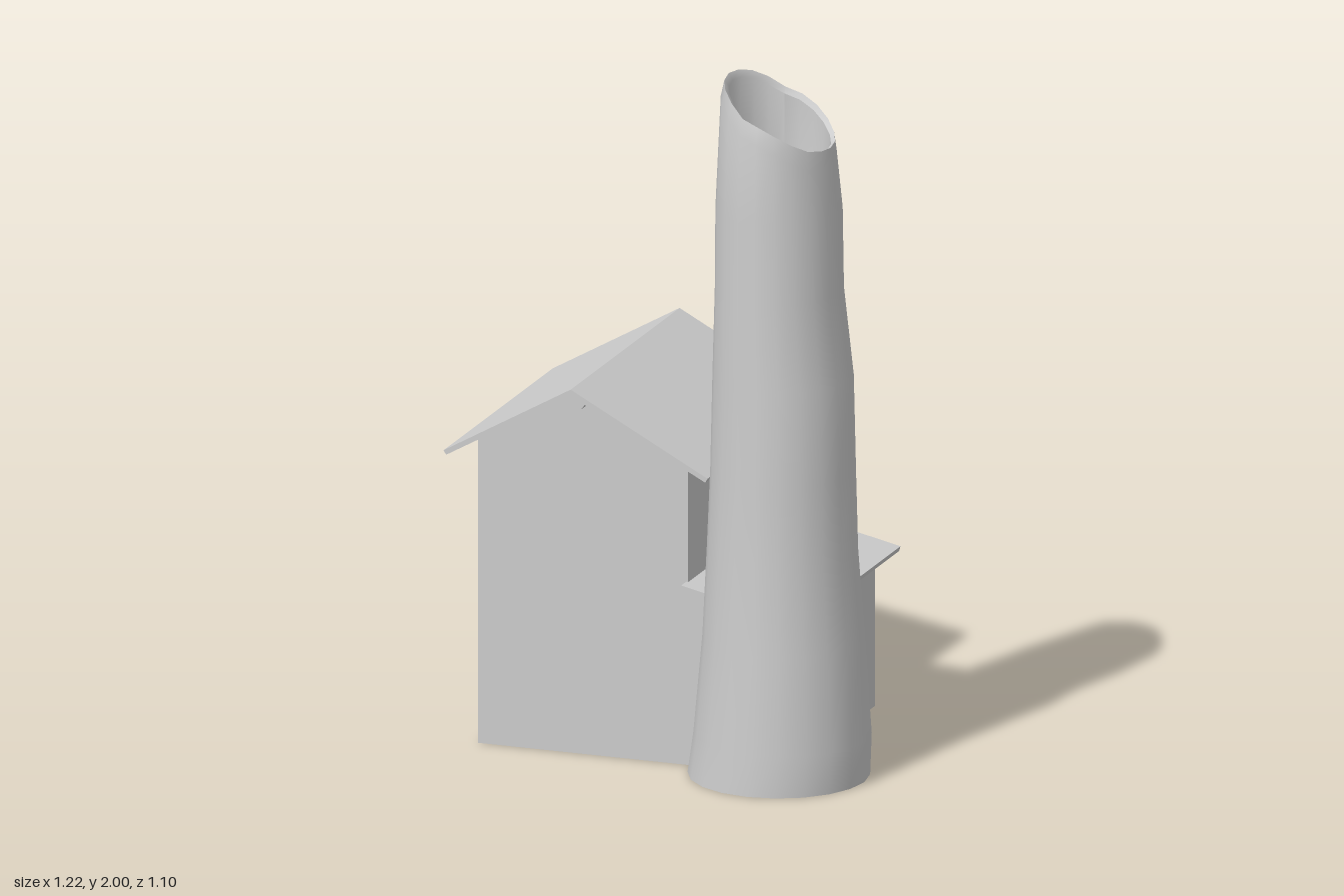
import * as THREE from 'three';
import { toCreasedNormals } from 'three/addons/utils/BufferGeometryUtils.js';

const material = new THREE.MeshStandardMaterial({ color: 0xcccccc });

// Extrudes an outline in x,y between two depths
function prism(name, shape, z0, z1) {
  if (Array.isArray(shape)) shape = new THREE.Shape(shape.map(([x, y]) => new THREE.Vector2(x, y)));
  const geometry = new THREE.ExtrudeGeometry(shape, { depth: z1 - z0, bevelEnabled: false, curveSegments: 10 });
  geometry.translate(0, 0, z0);
  return named(name, geometry);
}

function named(name, geometry) {
  const mesh = new THREE.Mesh(geometry, material);
  mesh.name = name;
  return mesh;
}

// Skins a list of closed rings that all have the same number of points
function loft(rings, crease) {
  const n = rings[0].length, index = [];
  for (let i = 0; i < rings.length - 1; i++) {
    for (let j = 0; j < n; j++) {
      const a = i * n + j, b = i * n + (j + 1) % n;
      index.push(a, a + n, b, b, a + n, b + n);
    }
  }
  const geometry = new THREE.BufferGeometry();
  geometry.setAttribute('position', new THREE.Float32BufferAttribute(rings.flat(2), 3));
  geometry.setIndex(index);
  return toCreasedNormals(geometry, crease);
}

// Tall hollow stack with an uneven outline and a slanted, ragged mouth
function makeChimney() {
  const sides = 20, cz = 0.3;
  const mouth = [[0.2, 2], [0.25, 1.97], [0.29, 1.93], [0.37, 1.9], [0.43, 1.86], [0.47, 1.83], [0.5, 1.815]];
  const mouthHeight = (x) => {
    if (x <= mouth[0][0]) return mouth[0][1];
    for (let i = 1; i < mouth.length; i++) {
      const [x0, y0] = mouth[i - 1], [x1, y1] = mouth[i];
      if (x <= x1) return y0 + (y1 - y0) * (x - x0) / (x1 - x0);
    }
    return mouth[mouth.length - 1][1];
  };
  const ring = (left, right, rz, height) => Array.from({ length: sides }, (_, j) => {
    const a = j / sides * Math.PI * 2;
    const x = (left + right) / 2 + Math.cos(a) * (right - left) / 2;
    return [x, typeof height === 'function' ? height(x) : height, cz + Math.sin(a) * rz];
  });
  // y, left edge, right edge, half depth
  const outline = [
    [0, 0.35, 0.35, 0], [0, 0.095, 0.6, 0.252], [0.12, 0.112, 0.605, 0.247], [0.4, 0.138, 0.585, 0.234],
    [0.65, 0.15, 0.566, 0.22], [0.88, 0.16, 0.56, 0.214], [1.15, 0.166, 0.554, 0.208],
    [1.4, 0.173, 0.525, 0.2], [1.63, 0.174, 0.522, 0.193],
  ];
  const rings = outline.map(([y, l, r, rz]) => ring(l, r, rz, y));
  rings.push(
    ring(0.19, 0.507, 0.188, (x) => mouthHeight(x) - 0.05),
    ring(0.2, 0.5, 0.178, mouthHeight),
    ring(0.212, 0.49, 0.157, (x) => mouthHeight(x) - 0.012),
    ring(0.22, 0.482, 0.15, 1.65),
    ring(0.312, 0.382, 0.035, 0.8),
    ring(0.347, 0.347, 0, 0.8),
  );
  return named('chimney', loft(rings, 0.9));
}

// Arched canopy that projects furthest at its crown
function makeDoorHood(cx, cy, wallZ) {
  const steps = 16, rings = [];
  for (let i = 0; i <= steps; i++) {
    const t = i / steps * Math.PI, s = Math.max(0, Math.sin(t));
    const lip = wallZ - 0.004 - 0.136 * Math.sqrt(s);
    const at = (r, z) => [cx + Math.cos(t) * r * 0.96, cy + s * r, z];
    rings.push([at(0.18, lip), at(0.18, wallZ), at(0.167, wallZ), at(0.167, lip)]);
  }
  return named('doorHood', loft(rings, 0.7));
}

export function createModel() {
  const group = new THREE.Group();
  const ridgeX = -0.237, back = -0.41, front = 0.315;

  // Main house with gabled ends
  group.add(prism('houseWalls', [[-0.535, 0], [0.085, 0], [0.085, 0.875], [ridgeX, 1.052], [-0.535, 0.876]], back, front));
  group.add(prism('leanToWalls', [[0.08, 0], [0.365, 0], [0.365, 0.443], [0.08, 0.515]], back, front));

  // Roof slabs
  group.add(prism('mainRoof', [
    [-0.604, 0.84], [ridgeX, 1.047], [0.16, 0.838], [0.167, 0.85], [ridgeX, 1.065], [-0.612, 0.852],
  ], -0.477, 0.38));
  group.add(prism('leanToRoof', [[0.08, 0.508], [0.418, 0.438], [0.422, 0.452], [0.08, 0.527]], -0.458, 0.355));

  // Hexagonal ridge beam
  const beam = new THREE.CylinderGeometry(0.037, 0.037, 0.79, 6).rotateY(Math.PI / 6).rotateX(Math.PI / 2);
  beam.scale(1, 0.8, 1);
  const ridgeBeam = named('ridgeBeam', toCreasedNormals(beam, 0.5));
  ridgeBeam.position.set(ridgeX, 1.026, -0.048);
  group.add(ridgeBeam);

  // Arched door on the back wall, under its hood
  const doorX = -0.22, springY = 0.53, half = 0.168;
  const door = new THREE.Shape();
  door.moveTo(doorX - half, 0);
  door.lineTo(doorX + half, 0);
  door.lineTo(doorX + half, springY);
  door.absarc(doorX, springY, half, 0, Math.PI, false);
  group.add(prism('door', door, back - 0.01, back + 0.01));
  group.add(makeDoorHood(doorX, springY, back));

  group.add(makeChimney());
  return group;
}
